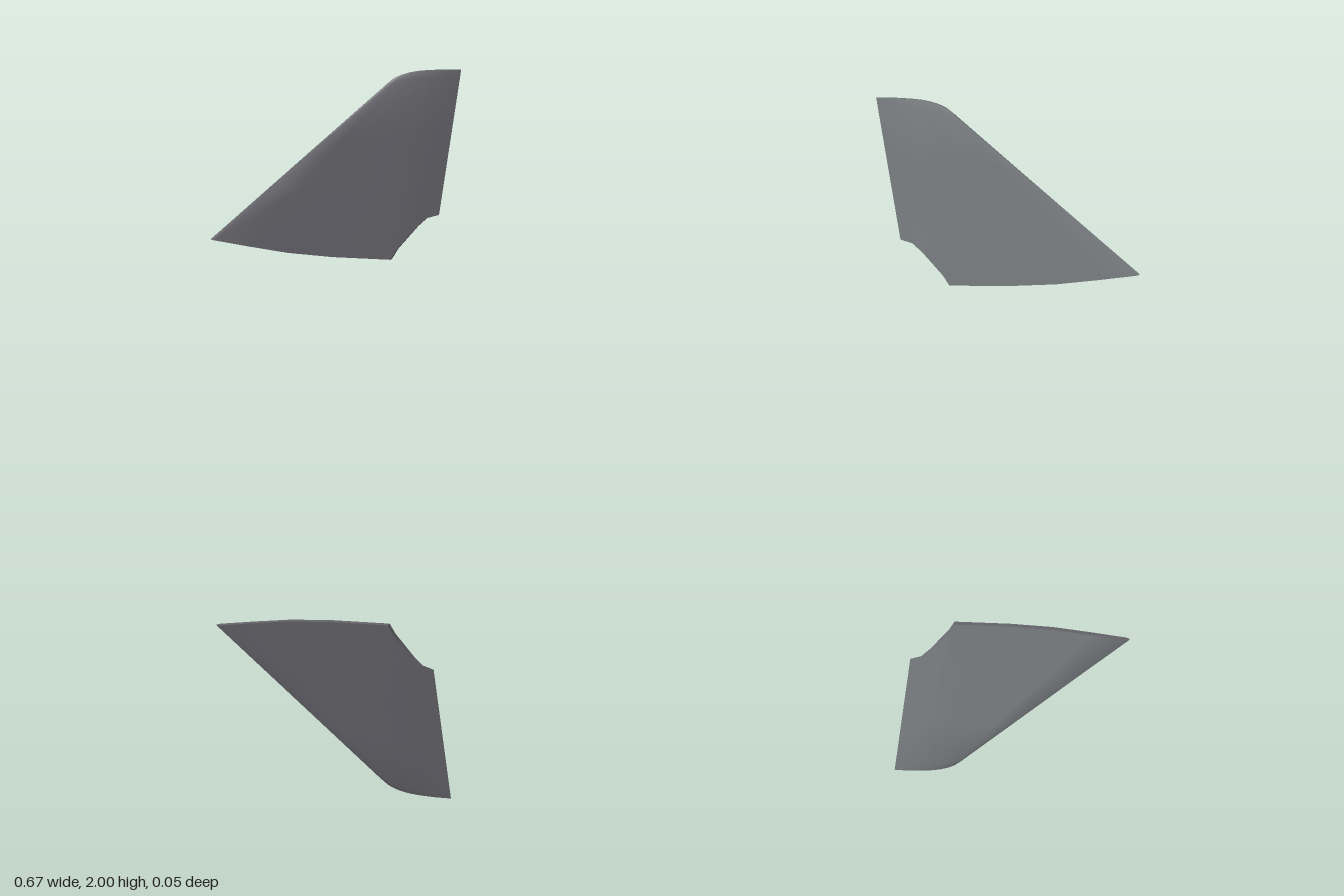
import * as THREE from 'three';
import { toCreasedNormals } from 'three/addons/utils/BufferGeometryUtils.js';

// Root and tip edges of the upper fin, leading edge to trailing edge (x, y)
const ROOT = [[-0.335, 1.543], [-0.331, 1.542], [-0.322, 1.541], [-0.23, 1.528], [-0.12, 1.514], [0, 1.507],
  [0.157, 1.505], [0.174, 1.533], [0.227, 1.594], [0.252, 1.617], [0.283, 1.626]];
const TIP = [[0.155, 1.972], [0.159, 1.975], [0.167, 1.979], [0.18, 1.985], [0.2, 1.991], [0.22, 1.995],
  [0.25, 1.998], [0.27, 1.999], [0.29, 2], [0.31, 2], [0.336, 2]];
// Span stations: [fraction from root to tip, thickness factor]
const STATIONS = [[0, 1], [0.33, 0.93], [0.66, 0.86], [0.96, 0.78], [1, 0.3]];
// Rounding of the leading edge
const NOSE = [0, 0.8, 1];

// Closed aerofoil plate; side is 1 for the upper fin, -1 for its mirror.
// Group 0 is the front skin with the end caps, group 1 the back skin.
function finGeometry(side) {
  const n = ROOT.length, ring = 2 * n, rows = STATIONS.length;
  const pos = [], index = [];
  for (const [v, thick] of STATIONS) {
    const chord = ROOT.map((r, i) => [
      THREE.MathUtils.lerp(r[0], TIP[i][0], v),
      THREE.MathUtils.lerp(r[1], TIP[i][1], v)]);
    const trailing = chord[n - 1][0];
    for (let k = 0; k < ring; k++) {
      const i = k < n ? k : ring - 1 - k;
      const [x, y] = chord[i];
      const half = Math.min(0.0085, 0.001 + 0.07 * (trailing - x)) * thick * (NOSE[i] ?? 1);
      // the whole plate is turned slightly about the vertical
      const mid = -0.005 - 0.063 * x;
      pos.push(x, 1 + side * (y - 1), mid + (k < n ? half : -half));
    }
  }
  const quad = (a, b, c, d) => {
    if (side > 0) index.push(a, b, c, a, c, d);
    else index.push(a, c, b, a, d, c);
  };
  const skin = (from, to) => {
    for (let j = 0; j < rows - 1; j++) {
      for (let k = from; k < to; k++) {
        const m = (k + 1) % ring;
        quad(j * ring + k, j * ring + m, (j + 1) * ring + m, (j + 1) * ring + k);
      }
    }
  };
  skin(0, n - 1);
  // root and tip caps
  const last = (rows - 1) * ring;
  for (let i = 0; i < n - 1; i++) {
    const back = ring - 1 - i;
    quad(back, back - 1, i + 1, i);
    quad(last + i, last + i + 1, last + back - 1, last + back);
  }
  const frontCount = index.length;
  skin(n - 1, ring);

  const geo = new THREE.BufferGeometry();
  geo.setAttribute('position', new THREE.Float32BufferAttribute(pos, 3));
  geo.setIndex(index);
  geo.addGroup(0, frontCount, 0);
  geo.addGroup(frontCount, index.length - frontCount, 1);
  return toCreasedNormals(geo, 0.6);
}

export function createModel() {
  const model = new THREE.Group();
  model.name = 'finPair';
  const dark = new THREE.MeshStandardMaterial({ color: 0x64646b });
  dark.name = 'dark grey';
  const light = new THREE.MeshStandardMaterial({ color: 0x8c9194 });
  light.name = 'light grey';
  for (const [name, side] of [['upperFin', 1], ['lowerFin', -1]]) {
    const fin = new THREE.Mesh(finGeometry(side), [dark, light]);
    fin.name = name;
    model.add(fin);
  }
  return model;
}
